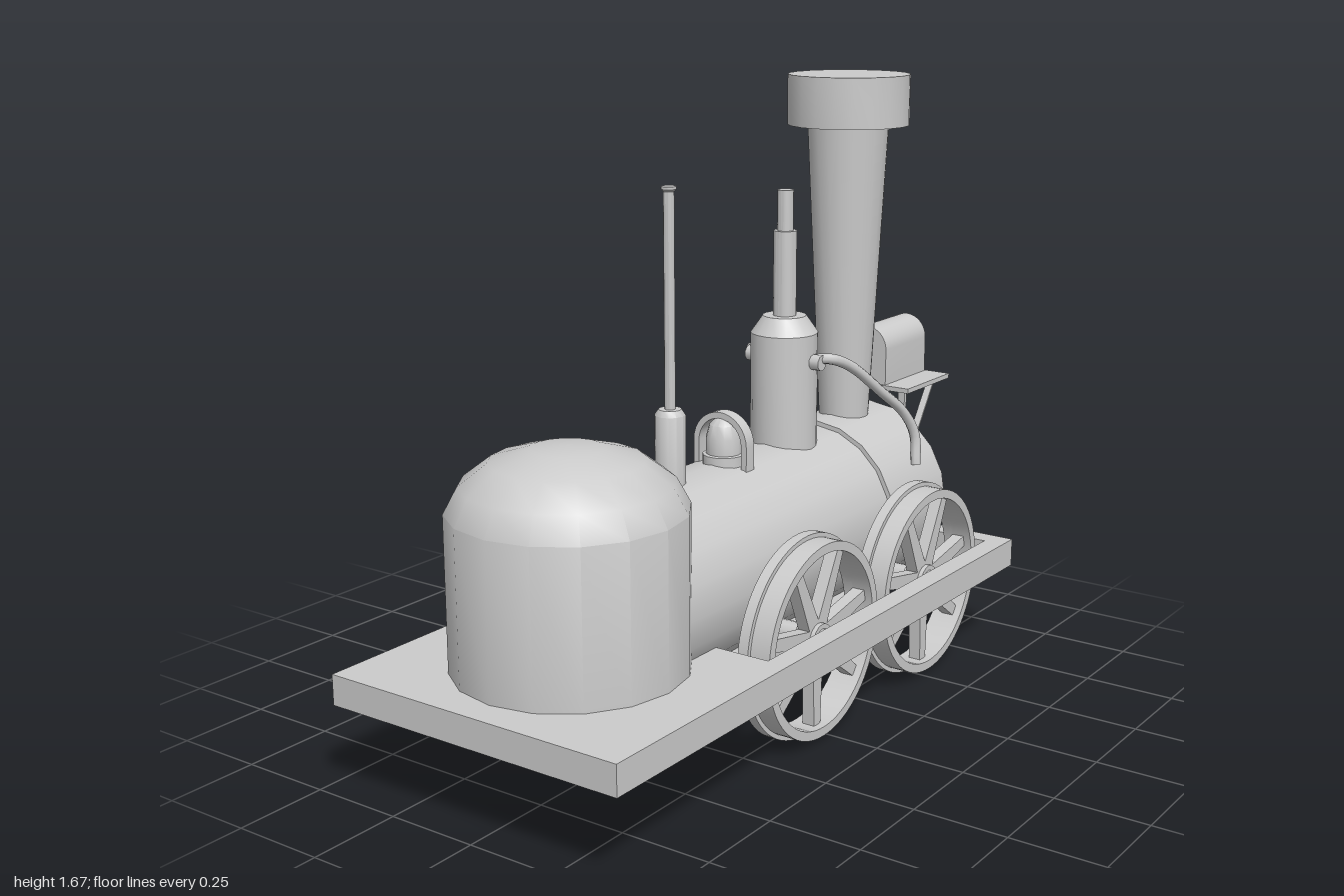
import * as THREE from 'three';
import { toCreasedNormals } from 'three/addons/utils/BufferGeometryUtils.js';

const material = new THREE.MeshStandardMaterial({ color: 0xcccccc, side: THREE.DoubleSide });

function add(parent, name, geometry, x = 0, y = 0, z = 0) {
  const mesh = new THREE.Mesh(geometry, material);
  mesh.name = name;
  mesh.position.set(x, y, z);
  parent.add(mesh);
  return mesh;
}

const box = (w, h, d) => new THREE.BoxGeometry(w, h, d);

// Turned part around a vertical axis, from [radius, height] pairs
function turned(points, sides = 20) {
  const profile = points.map(([r, y]) => new THREE.Vector2(r, y));
  return toCreasedNormals(new THREE.LatheGeometry(profile, sides), 0.6);
}

function extrude(shape, depth, curveSegments = 16) {
  const geometry = new THREE.ExtrudeGeometry(shape, { depth, bevelEnabled: false, curveSegments });
  return toCreasedNormals(geometry.translate(0, 0, -depth / 2), 0.6);
}

function rectangle(Type, x0, x1, y0, y1) {
  return new Type([[x0, y0], [x1, y0], [x1, y1], [x0, y1]].map(([x, y]) => new THREE.Vector2(x, y)));
}

function ring(outer, inner, depth) {
  const shape = new THREE.Shape().absarc(0, 0, outer, 0, Math.PI * 2);
  shape.holes.push(new THREE.Path().absarc(0, 0, inner, 0, Math.PI * 2, true));
  return extrude(shape, depth, 36);
}

// Spoked wheel with its flange on the inner side; side is +1 or -1 in z
function makeWheel(name, x, side) {
  const wheel = new THREE.Group();
  wheel.name = name;
  wheel.position.set(x, 0.275, 0);
  add(wheel, 'tread', ring(0.263, 0.238, 0.075), 0, 0, side * 0.322);
  add(wheel, 'flange', ring(0.275, 0.238, 0.03), 0, 0, side * 0.287);
  const hub = add(wheel, 'hub', new THREE.CylinderGeometry(0.045, 0.045, 0.06, 16), 0, 0, side * 0.32);
  hub.rotation.x = Math.PI / 2;
  const spokeShape = new THREE.Shape([[-0.024, 0.03], [0.024, 0.03], [0.015, 0.245], [-0.015, 0.245]]
    .map(([px, py]) => new THREE.Vector2(px, py)));
  for (let i = 0; i < 7; i++) {
    const spoke = add(wheel, 'spoke', extrude(spokeShape, 0.035), 0, 0, side * 0.32);
    spoke.rotation.z = Math.PI + (i * Math.PI * 2) / 7;
  }
  return wheel;
}

export function createModel() {
  const model = new THREE.Group();
  model.name = 'steamLocomotive';

  // Deck with an opening for the wheels and boiler
  const deckShape = rectangle(THREE.Shape, -1, 0.88, -0.435, 0.435);
  deckShape.holes.push(rectangle(THREE.Path, -0.325, 0.82, -0.375, 0.375));
  add(model, 'deck', extrude(deckShape, 0.08), 0, 0.28, 0).rotation.x = Math.PI / 2;
  add(model, 'underframe', box(1.157, 0.075, 0.5), -0.162, 0.2125, 0);

  // Boiler and smokebox lie along x
  const barrel = (name, r, x0, x1) => {
    const mesh = add(model, name, new THREE.CylinderGeometry(r, r, x1 - x0, 20), (x0 + x1) / 2, 0.438, 0);
    mesh.rotation.z = Math.PI / 2;
  };
  barrel('boiler', 0.252, -0.6, 0.5);
  barrel('smokebox', 0.265, 0.475, 0.773);

  // Domed firebox
  add(model, 'firebox', turned([[0, 0.3], [0.297, 0.3], [0.297, 0.72], [0.262, 0.785],
    [0.19, 0.84], [0.09, 0.87], [0, 0.876]], 16), -0.625, 0, 0);

  // Chimney with wide cap
  add(model, 'chimney', turned([[0.068, 0.62], [0.115, 1.54]]), 0.63, 0, 0);
  add(model, 'chimneyCap', turned([[0, 1.53], [0.172, 1.53], [0.172, 1.67], [0, 1.67]]), 0.63, 0, 0);

  // Steam dome with stepped pipe
  add(model, 'steamDome', turned([[0.093, 0.6], [0.093, 0.99], [0.06, 1.037], [0.032, 1.037],
    [0.032, 1.27], [0.022, 1.27], [0.022, 1.38], [0, 1.38]]), 0.31, 0, 0);

  // Tall thin valve post
  add(model, 'valvePost', turned([[0.04, 0.64], [0.04, 0.865], [0.03, 0.88], [0.014, 0.88],
    [0.014, 1.432], [0.02, 1.438], [0.02, 1.445], [0, 1.445]], 12), -0.217, 0, 0);

  // Filler hatch with a strap arching over it
  add(model, 'hatch', turned([[0.057, 0.66], [0.057, 0.71], [0.048, 0.712], [0.048, 0.755],
    [0.038, 0.79], [0.02, 0.808], [0, 0.812]], 14), 0.02, 0, 0);
  const strap = new THREE.Shape();
  strap.moveTo(0.085, 0.64).lineTo(0.085, 0.74).absarc(0, 0.74, 0.085, 0, Math.PI);
  strap.lineTo(-0.085, 0.64).lineTo(-0.068, 0.64).lineTo(-0.068, 0.74);
  strap.absarc(0, 0.74, 0.068, Math.PI, 0, true).lineTo(0.068, 0.64);
  add(model, 'hatchStrap', extrude(strap, 0.036, 8), 0.02, 0, 0).rotation.y = Math.PI / 2;

  for (const side of [1, -1]) {
    // Steam pipe from the dome down to the smokebox
    const path = new THREE.CatmullRomCurve3([[0.315, 0.915, 0.07], [0.335, 0.925, 0.125], [0.41, 0.895, 0.15],
      [0.53, 0.8, 0.185], [0.62, 0.725, 0.207], [0.658, 0.655, 0.222], [0.65, 0.57, 0.232]]
      .map(([x, y, z]) => new THREE.Vector3(x, y, z * side)));
    add(model, 'steamPipe', new THREE.TubeGeometry(path, 28, 0.015, 8));
    const boss = add(model, 'pipeBoss', new THREE.CylinderGeometry(0.022, 0.022, 0.05, 10), 0.315, 0.915, side * 0.095);
    boss.rotation.x = Math.PI / 2;

    // Lamp bracket: upright strip and thin diagonal brace
    add(model, 'bracketUpright', box(0.012, 0.2, 0.022), 0.779, 0.65, side * 0.11);
    const brace = add(model, 'bracketBrace', box(0.005, 0.322, 0.022), 0.863, 0.613, side * 0.11);
    brace.rotation.z = -Math.atan2(0.18, 0.265);

    for (const x of [-0.034, 0.53]) model.add(makeWheel(side > 0 ? 'frontWheel' : 'backWheel', x, side));
  }

  // Lamp on its shelf
  add(model, 'lampShelf', box(0.25, 0.014, 0.29), 0.875, 0.753, 0);
  const lamp = new THREE.Shape();
  lamp.moveTo(-0.065, 0.757).lineTo(0.065, 0.757).lineTo(0.065, 0.865);
  lamp.absarc(0, 0.865, 0.065, 0, Math.PI);
  add(model, 'lamp', extrude(lamp, 0.236, 8), 0.874, 0, 0).rotation.y = Math.PI / 2;

  // Axles
  for (const x of [-0.034, 0.53]) {
    const axle = add(model, 'axle', new THREE.CylinderGeometry(0.032, 0.032, 0.75, 12), x, 0.275, 0);
    axle.rotation.x = Math.PI / 2;
  }
  return model;
}
